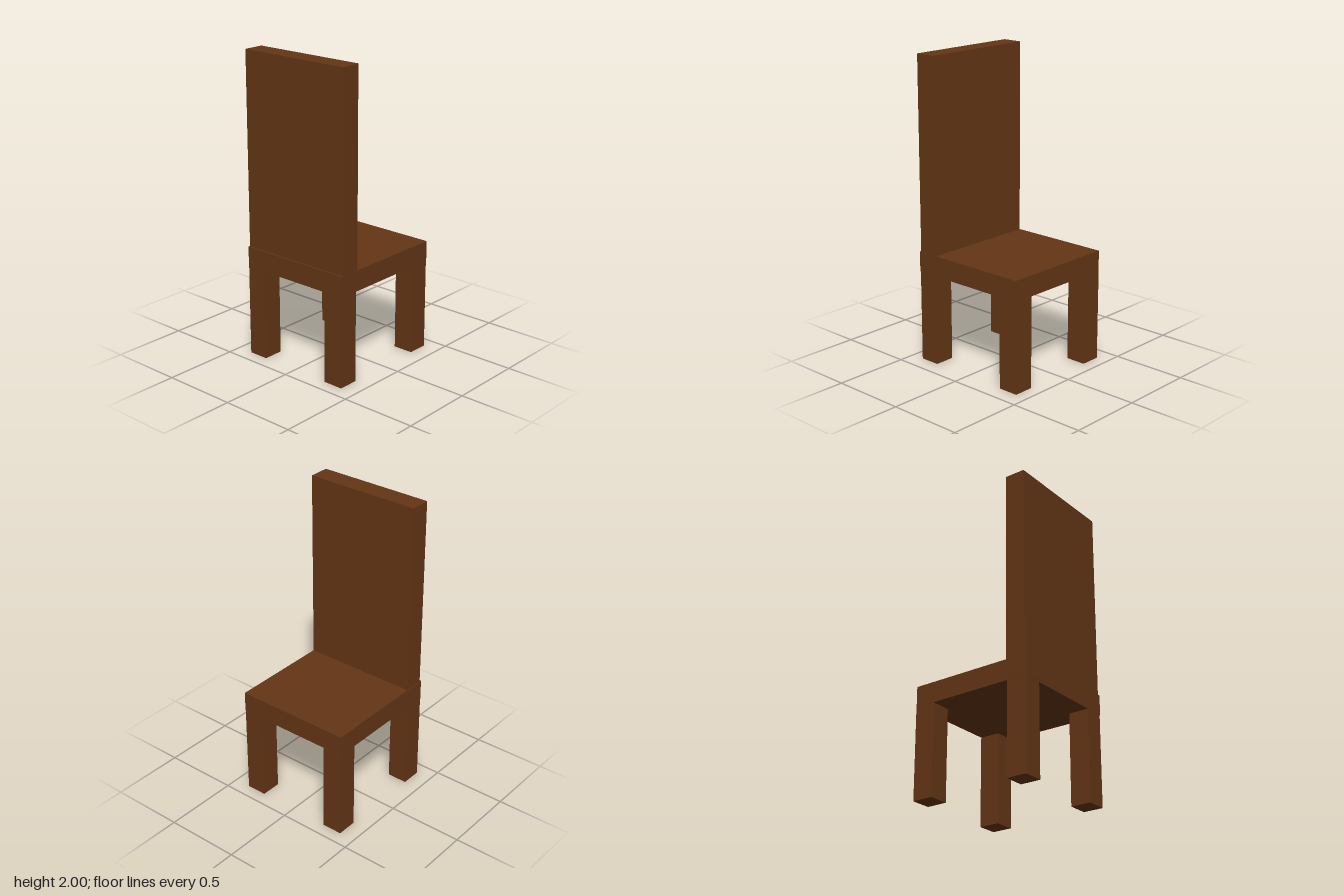
import * as THREE from 'three';

export function createModel() {
  const model = new THREE.Group();
  model.name = 'chair';
  const wood = new THREE.MeshStandardMaterial({ color: 0x653616, flatShading: true });

  // Box given by its extents along each axis
  function block(name, [x0, x1], [y0, y1], [z0, z1]) {
    const mesh = new THREE.Mesh(new THREE.BoxGeometry(x1 - x0, y1 - y0, z1 - z0), wood);
    mesh.position.set((x0 + x1) / 2, (y0 + y1) / 2, (z0 + z1) / 2);
    mesh.name = name;
    model.add(mesh);
  }

  // Seat slab and the tall backrest standing on its +z edge
  block('seat', [-0.392, 0.392], [0.6, 0.735], [-0.412, 0.413]);
  block('backrest', [-0.388, 0.39], [0.735, 2], [0.267, 0.403]);

  // Four square legs at the corners
  const sides = { Right: [-0.391, -0.256], Left: [0.252, 0.388] };
  const ends = { front: [0.277, 0.412], back: [-0.414, -0.277] };
  for (const [end, z] of Object.entries(ends)) {
    for (const [side, x] of Object.entries(sides)) {
      block(`${end}${side}Leg`, x, [0, 0.6], z);
    }
  }

  return model;
}
